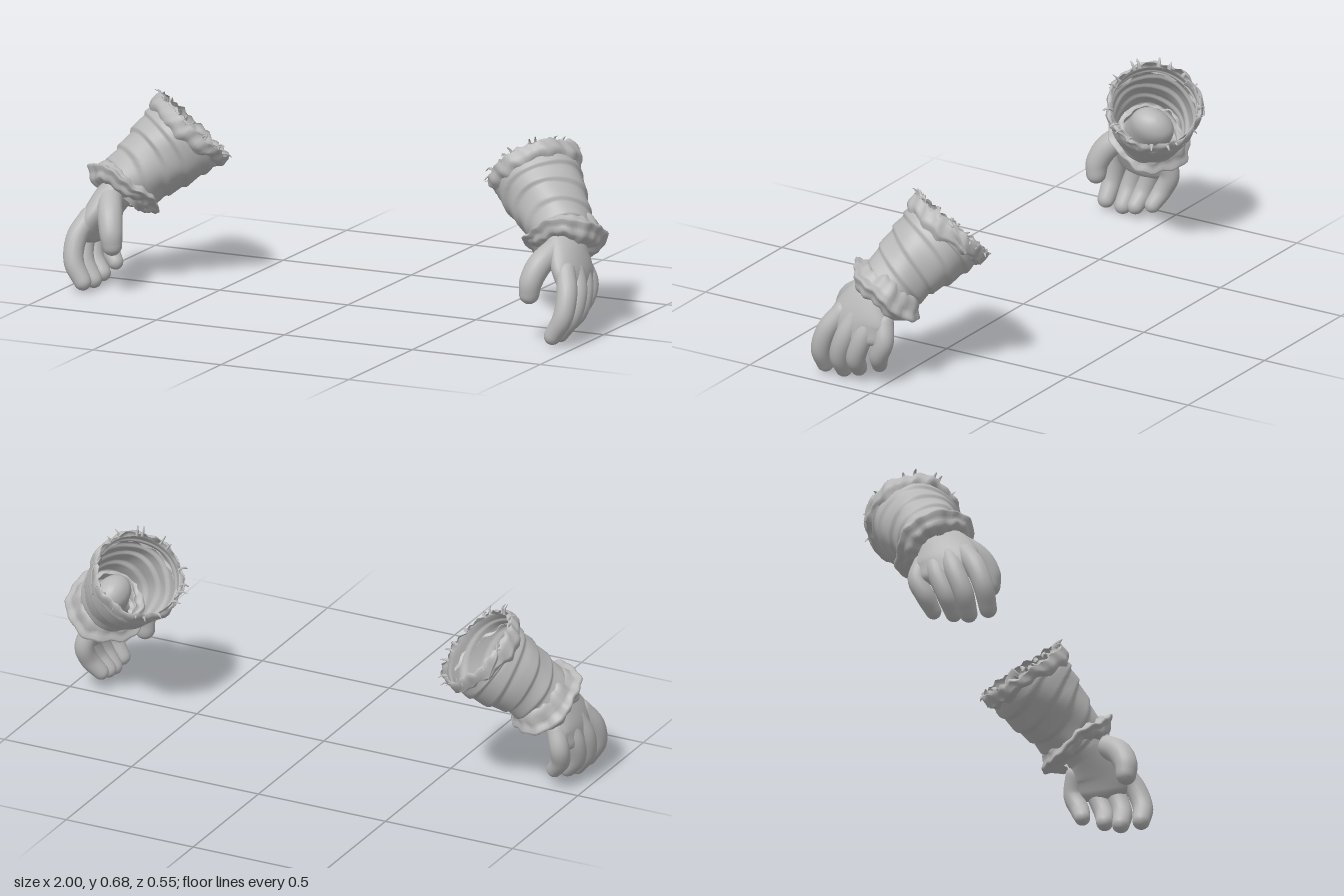
import * as THREE from 'three';

const cloth = new THREE.MeshStandardMaterial({ color: 0xb8b8b8, side: THREE.DoubleSide });
cloth.name = 'plainGrey';

// Sweep elliptical rings along rows of [x, y, z, halfWidthZ, halfWidthX];
// bump(t, angle) returns [extra radius, shift along the path].
function loft(rows, { n = 20, steps = 20, capStart = false, capEnd = false, bump = () => [0, 0] } = {}) {
  const path = new THREE.CatmullRomCurve3(rows.map(r => new THREE.Vector3(r[0], r[1], r[2])));
  const size = new THREE.CatmullRomCurve3(rows.map(r => new THREE.Vector3(r[3], r[4] ?? r[3], 0)));
  const rings = [];
  const domes = [0.35, 0.65, 0.88, 0.97, 1];
  if (capStart) domes.slice().reverse().forEach(s => rings.push([0, -s]));
  for (let i = 0; i <= steps; i++) rings.push([i / steps, 0]);
  if (capEnd) domes.forEach(s => rings.push([1, s]));

  const pos = [], idx = [];
  for (const [t, dome] of rings) {
    const T = path.getTangent(t);
    const U = new THREE.Vector3(0, 0, 1).addScaledVector(T, -T.z).normalize();
    const V = T.clone().cross(U);
    const r = size.getPoint(t);
    const k = Math.sqrt(Math.max(0, 1 - dome * dome));
    const c = path.getPoint(t).addScaledVector(T, dome * Math.min(r.x, r.y));
    for (let j = 0; j < n; j++) {
      const a = j / n * Math.PI * 2;
      const [dr, dt] = bump(t, a);
      const p = c.clone().addScaledVector(U, (r.x + dr) * k * Math.cos(a))
        .addScaledVector(V, (r.y + dr) * k * Math.sin(a)).addScaledVector(T, dt);
      pos.push(p.x, p.y, p.z);
    }
  }
  for (let i = 0; i < rings.length - 1; i++) {
    for (let j = 0; j < n; j++) {
      const a = i * n + j, b = i * n + (j + 1) % n;
      idx.push(a, b, a + n, b, b + n, a + n);
    }
  }
  const g = new THREE.BufferGeometry();
  g.setAttribute('position', new THREE.Float32BufferAttribute(pos, 3));
  g.setIndex(idx);
  g.computeVertexNormals();
  return g;
}

// Mirror a geometry across x = 0 and restore its winding
function mirrored(geometry) {
  const g = geometry.clone().scale(-1, 1, 1);
  const ix = g.index.array;
  for (let i = 0; i < ix.length; i += 3) [ix[i], ix[i + 1]] = [ix[i + 1], ix[i]];
  g.computeVertexNormals();
  return g;
}

function seeded(seed) {
  return () => (seed = (seed * 16807) % 2147483647) / 2147483647;
}

// Parts of the left arm, as [name, geometry]
function armParts() {
  const parts = [];
  const add = (name, rows, options) => parts.push([name, loft(rows, options)]);
  const rounded = { capStart: true, capEnd: true };

  // Palm and wrist
  add('palm', [
    [0.83, 0.40, -0.01, 0.08, 0.06], [0.865, 0.345, 0.035, 0.085, 0.06],
    [0.895, 0.30, 0.07, 0.10, 0.058], [0.925, 0.24, 0.088, 0.118, 0.05],
    [0.94, 0.19, 0.09, 0.105, 0.038],
  ], { n: 32, ...rounded });

  // Curled fingers and thumb
  const fingers = {
    indexFinger: [[0.93, 0.26, 0.16, 0.035], [0.958, 0.19, 0.205, 0.037], [0.955, 0.11, 0.233, 0.036], [0.918, 0.042, 0.238, 0.031]],
    middleFinger: [[0.935, 0.26, 0.10, 0.035], [0.96, 0.18, 0.13, 0.037], [0.952, 0.10, 0.158, 0.036], [0.912, 0.036, 0.165, 0.031]],
    ringFinger: [[0.93, 0.25, 0.045, 0.035], [0.953, 0.18, 0.065, 0.036], [0.945, 0.10, 0.095, 0.035], [0.905, 0.048, 0.108, 0.03]],
    littleFinger: [[0.915, 0.25, -0.003, 0.034], [0.935, 0.18, -0.015, 0.035], [0.927, 0.12, 0.01, 0.034], [0.893, 0.072, 0.03, 0.028]],
    thumb: [[0.875, 0.33, 0.11, 0.042], [0.84, 0.28, 0.18, 0.044], [0.82, 0.22, 0.212, 0.041], [0.815, 0.178, 0.214, 0.036]],
  };
  for (const [name, rows] of Object.entries(fingers)) add(name, rows, rounded);

  // Sleeve wound with overlapping bandage turns
  const sleeve = [
    [0.67, 0.55, -0.12, 0.150], [0.70, 0.51, -0.095, 0.148], [0.75, 0.46, -0.06, 0.138],
    [0.80, 0.41, -0.02, 0.120], [0.845, 0.36, 0.01, 0.108], [0.875, 0.32, 0.035, 0.092],
  ];
  add('wrappedSleeve', sleeve, {
    n: 64, steps: 70,
    bump: (t, a) => {
      const turn = t * 5.5 + 0.45 * Math.cos(a + 0.8) + 0.15 * Math.sin(2 * a + t * 3);
      const f = turn - Math.floor(turn);
      const step = f < 0.85 ? f / 0.85 : (1 - f) / 0.15;
      return [(0.009 * step + 0.002 * Math.sin(5 * a + 9 * t)) * Math.min(1, t * 5), 0];
    },
  });

  // Folded ragged rim with a scalloped lower edge
  add('raggedRim', [
    [0.665, 0.556, -0.123, 0.146], [0.661, 0.562, -0.126, 0.157], [0.668, 0.553, -0.121, 0.167],
    [0.684, 0.532, -0.107, 0.168], [0.697, 0.514, -0.097, 0.149],
  ].slice(1), {
    n: 72, steps: 16,
    bump: (t, a) => [
      0.004 * Math.sin(7 * a + 2) + 0.003 * Math.sin(17 * a + 6 * t),
      0.008 * Math.sin(3 * a + 1) * t + 0.006 * Math.sin(11 * a) * t
        + 0.005 * Math.sin(23 * a) * (1 - t) + 0.004 * Math.sin(9 * a + 2) * (1 - t),
    ],
  });

  // Thick rolled band at the wrist
  add('wristBand', [
    [0.842, 0.380, 0.000, 0.100], [0.847, 0.372, 0.004, 0.122], [0.856, 0.352, 0.016, 0.135],
    [0.865, 0.332, 0.030, 0.135], [0.871, 0.316, 0.041, 0.122], [0.873, 0.310, 0.045, 0.085],
  ], {
    n: 64, steps: 24,
    bump: (t, a) => [
      0.004 * Math.sin(6 * a + 5 * t) + 0.003 * Math.sin(13 * a - 4 * t) - 0.01 * Math.abs(Math.sin(a)),
      0.006 * Math.sin(4 * a) + 0.003 * Math.sin(15 * a),
    ],
  });

  // Torn strip hanging behind the rim
  add('tornStrip', [
    [0.785, 0.615, -0.18, 0.020, 0.004], [0.795, 0.585, -0.215, 0.016, 0.004],
    [0.788, 0.55, -0.236, 0.012, 0.003], [0.78, 0.51, -0.255, 0.005, 0.002],
  ], { n: 8, steps: 10, ...rounded });

  // Short frayed threads around the rim
  const random = seeded(41);
  const centre = new THREE.Vector3(0.664, 0.558, -0.124);
  const axis = new THREE.Vector3(0.54, -0.72, 0.45).normalize();
  const u = new THREE.Vector3(0, 0, 1).addScaledVector(axis, -axis.z).normalize();
  const v = axis.clone().cross(u);
  for (let i = 0; i < 18; i++) {
    const a = (i + random() * 0.8) / 18 * Math.PI * 2;
    const out = u.clone().multiplyScalar(Math.cos(a)).addScaledVector(v, Math.sin(a));
    const row = (r, along, w) => [
      ...centre.clone().addScaledVector(out, r).addScaledVector(axis, along).toArray(), w, w * 0.5];
    const reach = 0.01 + random() * 0.014;
    add('frayedThread', [
      row(0.152, 0.008, 0.010), row(0.158 + reach * 0.4, -0.004, 0.006),
      row(0.162 + reach, (random() - 0.6) * 0.02, 0.002),
    ], { n: 6, steps: 5, capEnd: true });
  }
  return parts;
}

export function createModel() {
  const model = new THREE.Group();
  model.name = 'wrappedHands';
  const parts = armParts();
  for (const side of ['left', 'right']) {
    const arm = new THREE.Group();
    arm.name = side + 'Hand';
    for (const [name, geometry] of parts) {
      const mesh = new THREE.Mesh(side === 'left' ? geometry : mirrored(geometry), cloth);
      mesh.name = name;
      arm.add(mesh);
    }
    model.add(arm);
  }
  return model;
}
